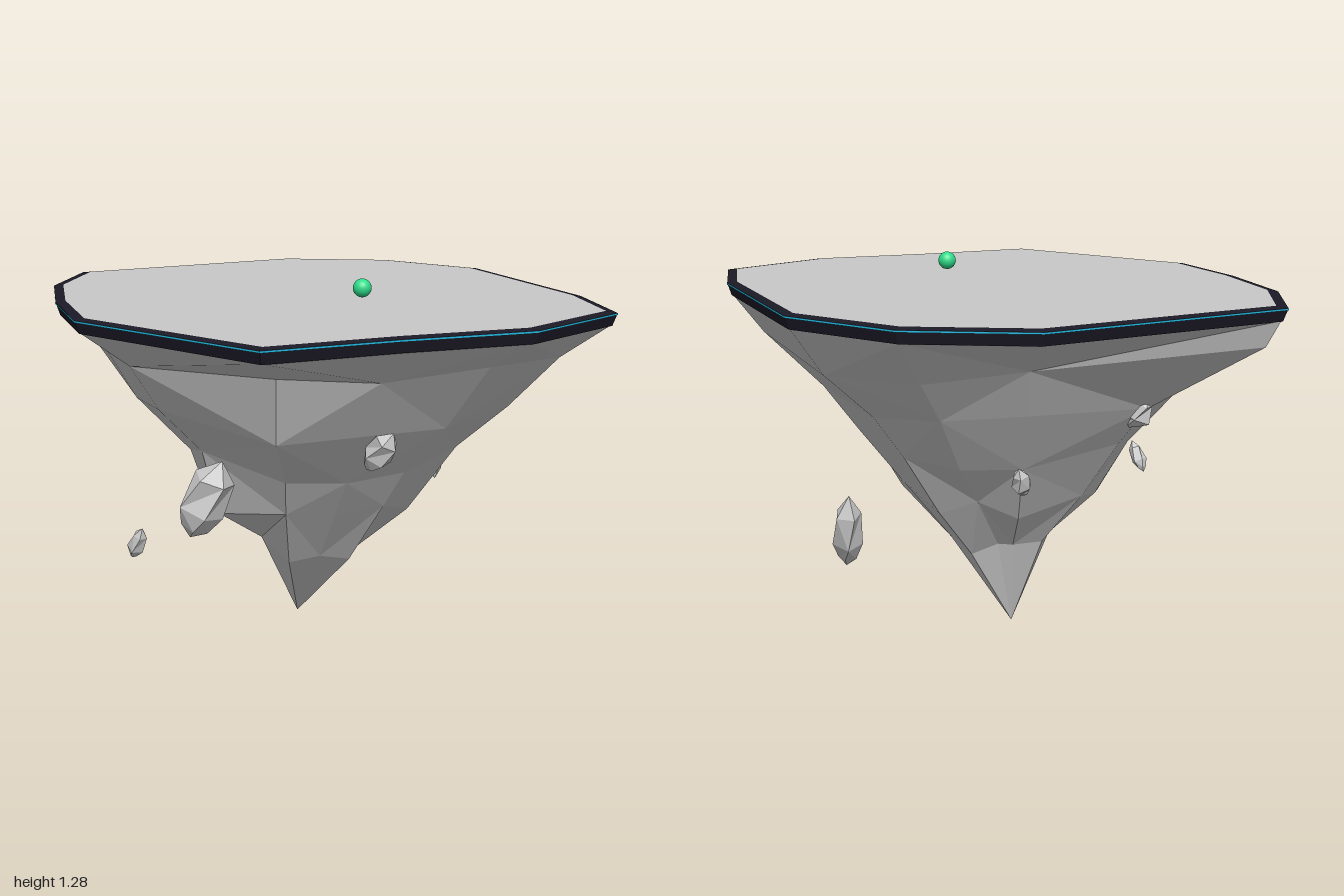
import * as THREE from 'three';

const mat = (name, color) => Object.assign(new THREE.MeshStandardMaterial({ color }), { name });

// Plateau outline as [x, z], clockwise from above
const OUTLINE = [
  [-0.08, -1.0], [0.33, -0.935], [0.655, -0.665], [0.9, 0.06], [0.935, 0.42], [0.62, 0.725],
  [0.21, 0.845], [-0.21, 1.0], [-0.775, 0.48], [-0.88, 0.11], [-0.935, -0.275], [-0.87, -0.63],
];
const TIP = [-0.07, -0.11];

const ring = (scale, y) => OUTLINE.map(([x, z]) => new THREE.Vector3(x * scale, y, z * scale));
const point = (x, y, z) => OUTLINE.map(() => new THREE.Vector3(x, y, z));

// Repeatable pseudo-random number in 0..1
const noise = (n) => {
  const s = Math.sin(n * 127.1 + 11.7) * 43758.5453;
  return s - Math.floor(s);
};

// Flat-shaded skin over rings listed from the top down
function loft(rings) {
  const pos = [];
  const tri = (a, b, c) => {
    if (a.equals(b) || b.equals(c) || a.equals(c)) return;
    for (const p of [a, b, c]) pos.push(p.x, p.y, p.z);
  };
  for (let j = 0; j < rings.length - 1; j++) {
    const n = rings[j].length;
    for (let i = 0; i < n; i++) {
      const k = (i + 1) % n;
      const a = rings[j][i], b = rings[j][k], c = rings[j + 1][k], d = rings[j + 1][i];
      if ((i + j) % 2) { tri(a, b, c); tri(a, c, d); }
      else { tri(a, b, d); tri(b, c, d); }
    }
  }
  const geo = new THREE.BufferGeometry();
  geo.setAttribute('position', new THREE.Float32BufferAttribute(pos, 3));
  geo.computeVertexNormals();
  return geo;
}

// Rock ring: a share of the outline per corner, drifting towards the tip, slightly rough
function rockRing({ y, lean, share }, level) {
  return OUTLINE.map(([x, z], i) => {
    const f = share[i] * (0.97 + 0.06 * noise(level * 31 + i));
    const dy = (noise(level * 57 + i * 3 + 5) - 0.5) * 0.08;
    return new THREE.Vector3(x * f + TIP[0] * lean, y + dy, z * f + TIP[1] * lean);
  });
}

// Pointed five-sided shard stretched between two tips
function shard(top, bottom, radius, seed) {
  const a = new THREE.Vector3(...top), b = new THREE.Vector3(...bottom);
  const h = a.distanceTo(b);
  const level = (y, r, turn) => Array.from({ length: 5 }, (_, i) => {
    const t = ((i + turn) / 5) * Math.PI * 2 + seed;
    const q = r * radius * (0.85 + 0.3 * noise(seed * 9 + i + turn * 4));
    return new THREE.Vector3(Math.cos(t) * q, y * h, Math.sin(t) * q);
  });
  const tip = (y) => Array.from({ length: 5 }, () => new THREE.Vector3(0, y * h, 0));
  const geo = loft([tip(0.5), level(0.26, 0.8, 0), level(-0.14, 1, 0.3), level(-0.36, 0.55, 0.5), tip(-0.5)]);
  const axis = a.clone().sub(b).normalize();
  geo.applyQuaternion(new THREE.Quaternion().setFromUnitVectors(new THREE.Vector3(0, 1, 0), axis));
  const mid = a.add(b).multiplyScalar(0.5);
  return geo.translate(mid.x, mid.y, mid.z);
}

export function createModel() {
  const group = new THREE.Group();
  const stone = mat('grey stone', 0xc8c8c8);
  const dark = mat('dark rim', 0x1b1a26);
  const cyan = mat('cyan trim', 0x22b8e0);
  const green = mat('green', 0x2edc8a);

  const add = (name, geo, material) => {
    const mesh = new THREE.Mesh(geo, material);
    mesh.name = name;
    group.add(mesh);
  };

  // Flat plateau and its dark, slightly bevelled border
  add('plateau', loft([point(0, 1.2, 0), ring(0.963, 1.2)]), stone);
  add('rim', loft([ring(0.963, 1.2), ring(1, 1.195), ring(0.985, 1.153), ring(0.94, 1.153)]), dark);
  add('rimTrim', loft([ring(1.001, 1.195), ring(1.001, 1.189)]), cyan);

  // Inverted rock cone narrowing to an off-centre tip
  const levels = [
    { y: 1.03, lean: 0.1, share: [0.75, 0.8, 0.84, 0.86, 0.85, 0.83, 0.8, 0.73, 0.8, 0.84, 0.88, 0.93] },
    { y: 0.85, lean: 0.3, share: [0.62, 0.66, 0.66, 0.68, 0.68, 0.68, 0.7, 0.66, 0.67, 0.69, 0.64, 0.55] },
    { y: 0.67, lean: 0.45, share: [0.46, 0.48, 0.5, 0.55, 0.53, 0.5, 0.52, 0.46, 0.48, 0.47, 0.45, 0.42] },
    { y: 0.49, lean: 0.6, share: [0.32, 0.33, 0.36, 0.4, 0.38, 0.4, 0.42, 0.38, 0.4, 0.38, 0.34, 0.3] },
    { y: 0.31, lean: 0.8, share: [0.12, 0.13, 0.2, 0.22, 0.2, 0.26, 0.27, 0.25, 0.19, 0.17, 0.15, 0.13] },
  ];
  const rockRings = levels.map((l, i) => rockRing(l, i + 1));
  add('rock', loft([ring(0.98, 1.154), ...rockRings, point(TIP[0], 0, TIP[1])]), stone);

  // Shards drifting around the rock: top tip, bottom tip, radius
  [
    [[-0.32, 0.845, 0.86], [-0.42, 0.605, 0.83], 0.074],
    [[0.21, 0.845, 0.56], [0.13, 0.71, 0.49], 0.05],
    [[0.48, 0.63, -0.64], [0.495, 0.375, -0.55], 0.053],
    [[-0.59, 0.51, 0.45], [-0.63, 0.395, 0.4], 0.03],
    [[0.09, 0.83, -0.59], [0.05, 0.77, -0.47], 0.045],
    [[-0.04, 0.72, -0.69], [-0.06, 0.62, -0.64], 0.032],
    [[-0.49, 0.88, -0.38], [-0.43, 0.76, -0.35], 0.05],
  ].forEach(([top, bottom, r], i) => add('floatingShard' + (i + 1), shard(top, bottom, r, i + 1), stone));

  // Small orb hovering over the plateau
  add('orb', new THREE.SphereGeometry(0.031, 24, 16).translate(0.137, 1.249, 0.2), green);

  return group;
}
